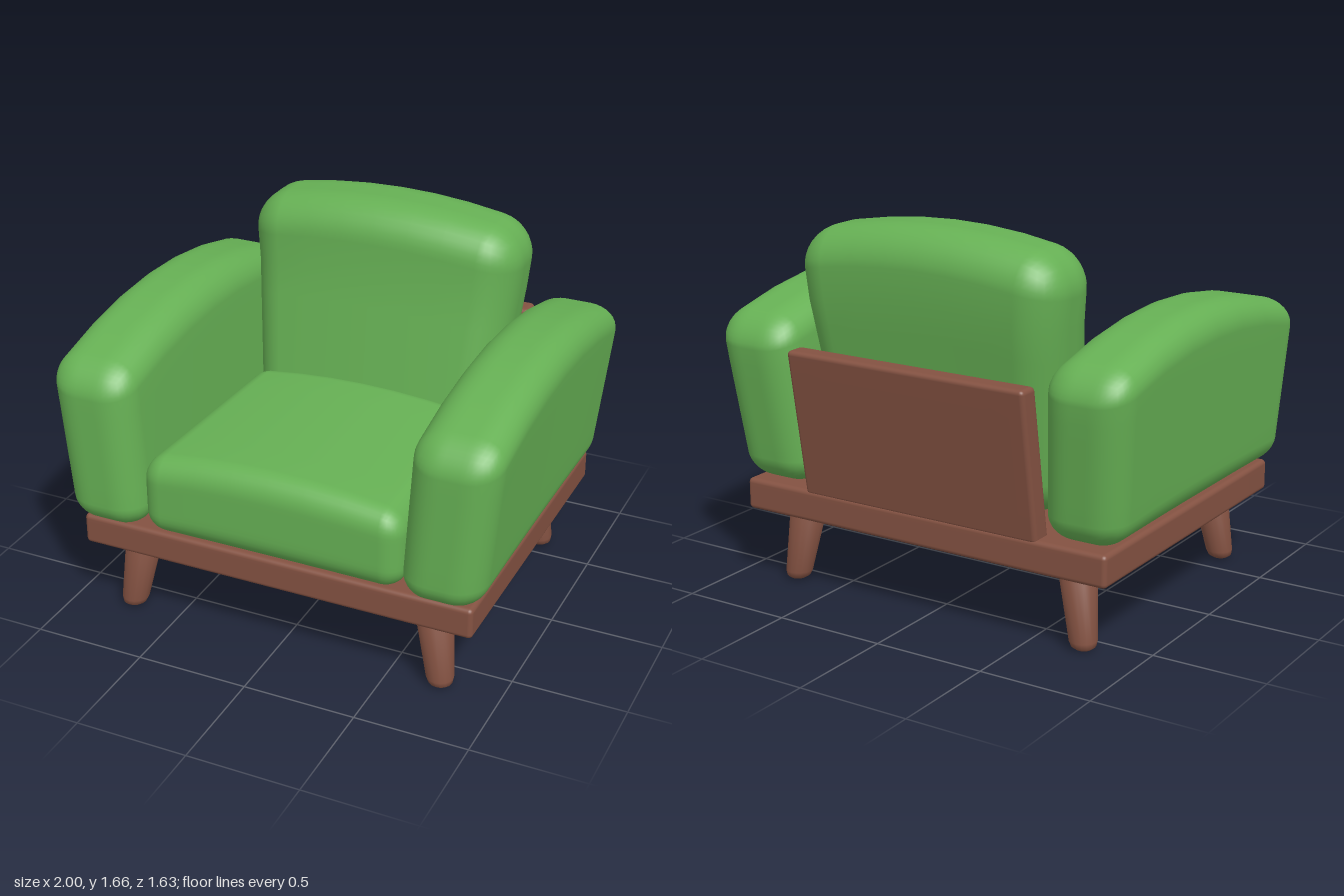
import * as THREE from 'three';
import { mergeVertices } from 'three/addons/utils/BufferGeometryUtils.js';

// Box with rounded edges, finely divided so a rule can bend it.
// The warp receives each point (centred on the box) and moves it.
function softBox(w, h, d, r, warp = () => {}) {
  const edge = 4, mid = 6, n = edge * 2 + mid;
  let geo = new THREE.BoxGeometry(1, 1, 1, n, n, n);
  geo.deleteAttribute('normal');
  geo.deleteAttribute('uv');
  geo = mergeVertices(geo, 1e-4);
  const half = new THREE.Vector3(w / 2, h / 2, d / 2);
  const place = (u, size) => {
    const i = Math.round((u + 0.5) * n);
    if (i < edge) return -size + r * (1 - Math.tan((1 - i / edge) * Math.PI / 4));
    if (i > n - edge) return size - r * (1 - Math.tan((1 - (n - i) / edge) * Math.PI / 4));
    return (size - r) * ((2 * (i - edge)) / mid - 1);
  };
  const inner = half.clone().subScalar(r);
  const low = inner.clone().negate();
  const pos = geo.attributes.position;
  const p = new THREE.Vector3(), core = new THREE.Vector3();
  for (let i = 0; i < pos.count; i++) {
    p.set(place(pos.getX(i), half.x), place(pos.getY(i), half.y), place(pos.getZ(i), half.z));
    core.copy(p).clamp(low, inner);
    p.sub(core).setLength(r).add(core);
    warp(p);
    pos.setXYZ(i, p.x, p.y, p.z);
  }
  geo.computeVertexNormals();
  return geo;
}

export function createModel() {
  const group = new THREE.Group();
  const fabric = new THREE.MeshStandardMaterial({ color: 0x66b054 });
  fabric.name = 'green fabric';
  const wood = new THREE.MeshStandardMaterial({ color: 0x845242 });
  wood.name = 'brown wood';
  const add = (name, geo, mat, x = 0, y = 0, z = 0) => {
    const mesh = new THREE.Mesh(geo, mat);
    mesh.name = name;
    mesh.position.set(x, y, z);
    group.add(mesh);
  };

  // Wooden platform
  add('base', softBox(1.8, 0.14, 1.465, 0.02), wood, 0, 0.4, 0.012);

  // Leaning wooden back panel
  add('backPanel', softBox(1.16, 0.66, 0.1, 0.02, (p) => { p.z -= 0.16 * p.y; }),
    wood, 0, 0.78, -0.718);

  // Seat cushion: crowned on top, narrower toward the back
  add('seatCushion', softBox(1.2, 0.35, 1.04, 0.1, (p) => {
    const t = p.y / 0.35 + 0.5;
    p.y += 0.05 * t * (1 - (p.x / 0.6) ** 2);
    p.x *= 1 - 0.08 * (0.5 - p.z / 1.04);
  }), fabric, 0, 0.645, 0.26);

  // Back cushion: wider at the top, arched, bulging and leaning back
  add('backCushion', softBox(1.28, 1.18, 0.41, 0.165, (p) => {
    const t = p.y / 1.18 + 0.5;
    const lean = -0.17 * (Math.min(p.y, 0.33) - 0.28);
    if (p.z > 0) p.z += 0.03 * (1 - (p.x / 0.64) ** 2);
    p.y -= 0.07 * t * (p.x / 0.6) ** 2;
    p.x *= 0.84 + 0.17 * t;
    p.z += lean;
  }), fabric, 0, 1.07, -0.505);

  for (const side of [1, -1]) {
    const label = side > 0 ? 'left' : 'right';

    // Padded arm: flares outward, arched top, rear edge slanting in below
    add(label + 'Arm', softBox(0.37, 0.86, 1.61, 0.13, (p) => {
      const t = p.y / 0.86 + 0.5, f = 2 * t - 1;
      p.y -= 0.22 * t * p.z * p.z;
      p.x = p.x * (1 + 0.03 * f) + side * 0.03 * f;
      if (p.z < 0) p.z *= 0.9 + 0.1 * Math.min(1, t * 1.2);
    }), fabric, side * 0.79, 0.9, 0.012);

    // Tapered, splayed legs with rounded feet
    for (const [end, topZ, footZ] of [['Front', 0.605, 0.64], ['Back', -0.565, -0.595]]) {
      const profile = [[0, 0], [0.035, 0.004], [0.052, 0.016], [0.06, 0.04], [0.083, 0.34], [0, 0.34]]
        .map(([x, y]) => new THREE.Vector2(x, y));
      const leg = new THREE.LatheGeometry(profile, 16);
      const shear = new THREE.Matrix4().set(
        1, -side * 0.15, 0, 0,
        0, 1, 0, 0,
        0, (topZ - footZ) / 0.34, 1, 0,
        0, 0, 0, 1);
      leg.applyMatrix4(shear);
      add(label + end + 'Leg', leg, wood, side * 0.735, 0, footZ);
    }
  }
  return group;
}
